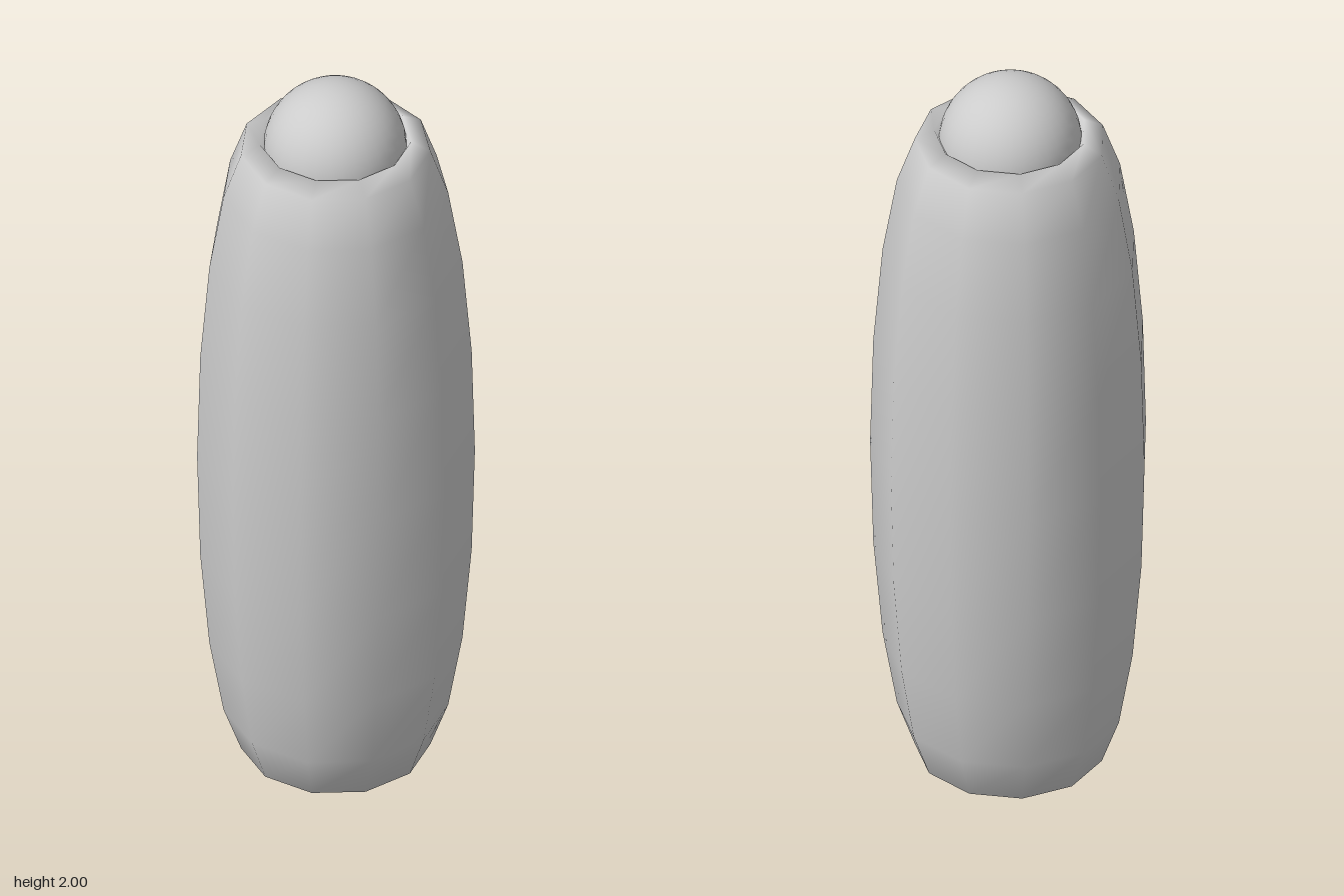
import * as THREE from 'three';

export function createModel() {
  const group = new THREE.Group();
  const material = new THREE.MeshStandardMaterial({ color: 0xcccccc });
  const axisX = -0.0075; // the eleven-sided ring is slightly off-centre in its bounds

  // Tall body: a torus stretched along its axis, leaving a narrow central hole
  const bodyGeometry = new THREE.TorusGeometry(0.199, 0.145, 19, 11);
  bodyGeometry.rotateX(-Math.PI / 2);
  bodyGeometry.scale(1, 0.93 / 0.145, 1);
  const body = new THREE.Mesh(bodyGeometry, material);
  body.name = 'body';
  body.position.set(axisX, 0.9275, 0);
  group.add(body);

  // Ball seated in the top opening
  const ball = new THREE.Mesh(new THREE.SphereGeometry(0.176, 32, 24), material);
  ball.name = 'ball';
  ball.position.set(axisX, 1.824, 0);
  group.add(ball);

  return group;
}
